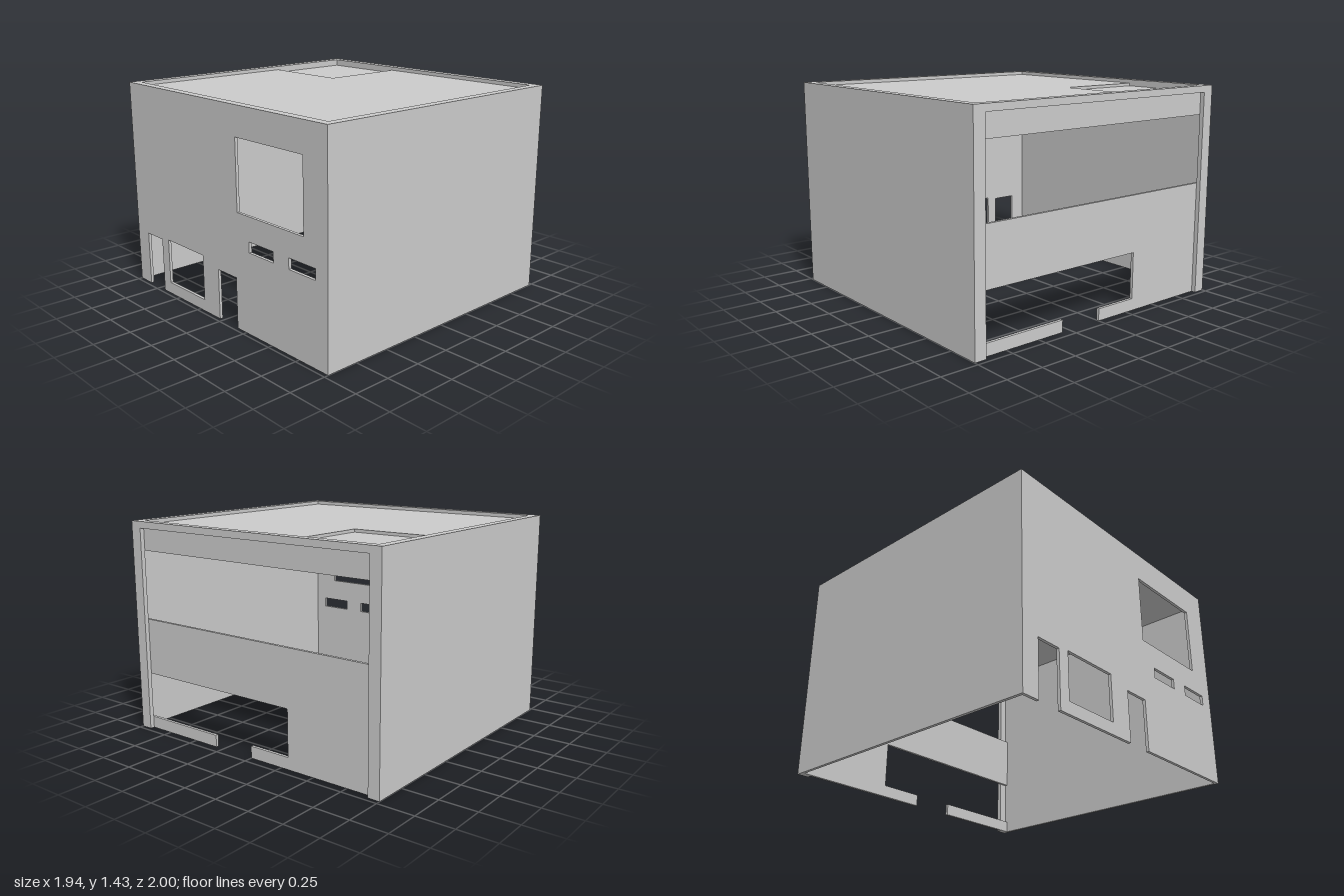
import * as THREE from 'three';

const X = 0.972;      // half width
const T = 0.02;       // wall thickness
const RECESS = 0.03;  // set-back of the open side
const ROOF = 1.405;   // roof surface
const TOP = 1.43;     // parapet top

const material = new THREE.MeshStandardMaterial({ color: 0xcccccc, flatShading: true });

const rect = (a0, b0, a1, b1) => [[a0, b0], [a1, b0], [a1, b1], [a0, b1]];
const toPoints = (list) => list.map(([a, b]) => new THREE.Vector2(a, b));

function extrude(outline, holes, depth) {
  const shape = new THREE.Shape(toPoints(outline));
  for (const h of holes) shape.holes.push(new THREE.Path(toPoints(h)));
  return new THREE.ExtrudeGeometry(shape, { depth, bevelEnabled: false });
}

export function createModel() {
  const model = new THREE.Group();
  model.name = 'building';

  const add = (name, geometry) => {
    const mesh = new THREE.Mesh(geometry, material);
    mesh.name = name;
    model.add(mesh);
  };
  // Panel drawn in (z, y), its outer face at xMax, going depth towards -x
  const sidePanel = (name, outline, holes, xMax, depth) =>
    add(name, extrude(outline, holes, depth).rotateY(-Math.PI / 2).translate(xMax, 0, 0));
  // Slab drawn in plan (x, z), from y0 up to y1
  const slab = (name, outline, holes, y0, y1) =>
    add(name, extrude(outline, holes, y1 - y0).rotateX(Math.PI / 2).translate(0, y1, 0));

  // Solid front and back walls
  for (const [name, s] of [['frontWall', 1], ['backWall', -1]]) {
    add(name, new THREE.BoxGeometry(2 * X - T, ROOF, T).translate(T / 2, ROOF / 2, s * (1 - T / 2)));
  }

  // Side wall with two doorways, two windows and two slots
  sidePanel('windowWall', [
    [-1, 0], [-0.87, 0], [-0.87, 0.375], [-0.69, 0.375], [-0.69, 0],
    [-0.03, 0], [-0.03, 0.34], [0.16, 0.34], [0.16, 0], [1, 0], [1, ROOF], [-1, ROOF],
  ], [
    rect(-0.61, 0.08, -0.2, 0.39),
    rect(0.19, 0.77, 0.8, 1.235),
    rect(0.3, 0.54, 0.53, 0.61),
    rect(0.67, 0.54, 0.9, 0.61),
  ], -X + T, T);

  // Open side: outer frame, then recessed bands behind it
  const e = 1 - T;
  sidePanel('openSideFrame', [
    [-e, 0], [-0.92, 0], [-0.92, 1.385], [0.92, 1.385], [0.92, 0], [e, 0], [e, ROOF], [-e, ROOF],
  ], [], X, RECESS);
  const inner = X - RECESS;
  sidePanel('entranceWall', [
    [-e, 0], [0, 0], [0, 0.08], [-0.305, 0.08], [-0.305, 0.39], [e, 0.39], [e, 0.77], [-e, 0.77],
  ], [], inner, T);
  sidePanel('entranceSill', rect(0.31, 0, e, 0.08), [], inner, T);
  sidePanel('upperBeam', rect(-e, 1.235, e, ROOF), [], inner, T);

  // Roof with a shallow sunken corner
  const r0 = -X + T, r1 = inner - T;
  slab('roof', [[r0, -e], [0.29, -e], [0.29, -0.32], [r1, -0.32], [r1, e], [r0, e]], [], 1.37, ROOF);
  slab('sunkenRoof', rect(0.29, -e, r1, -0.32), [], 1.37, 1.385);

  // Parapet around the roof edge
  slab('parapet', rect(-X, -1, X, 1), [rect(-0.912, -0.94, 0.912, 0.94)], ROOF, TOP);
  // Parapet inner face carried down around the sunken corner
  slab('sunkenRoofCurb', [[0.29, -e], [r1, -e], [r1, -0.32], [0.912, -0.32], [0.912, -0.94], [0.29, -0.94]],
    [], 1.385, ROOF);

  return model;
}
